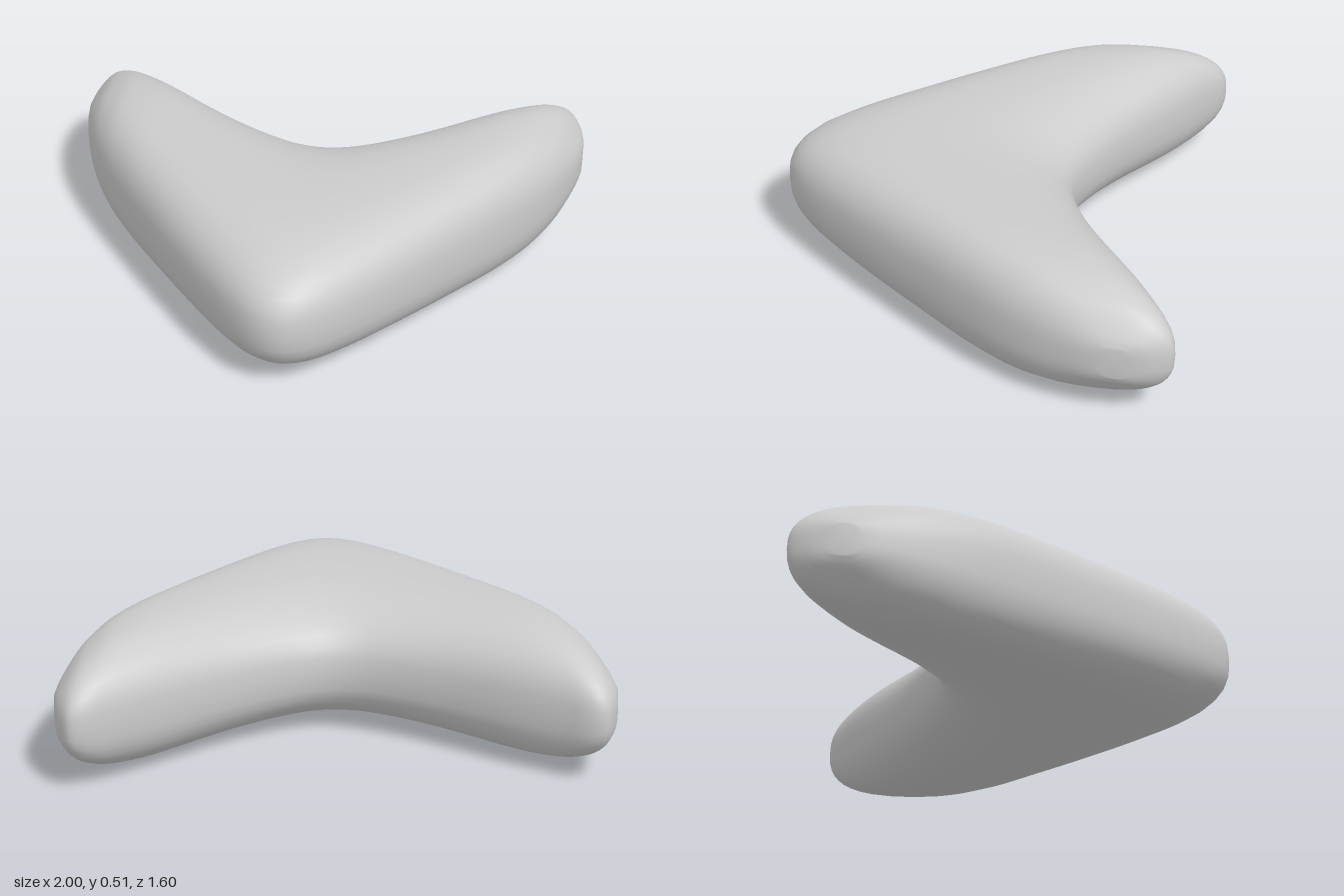
import * as THREE from 'three';

// Half of the outline, from the middle to a tip: x, back z, front z, half height
const STATIONS = [
  [0, -0.318, 0.797, 0.2525],
  [0.1, -0.332, 0.765, 0.2525],
  [0.2, -0.37, 0.68, 0.2525],
  [0.3, -0.42, 0.57, 0.2525],
  [0.4, -0.478, 0.45, 0.2525],
  [0.5, -0.545, 0.325, 0.2525],
  [0.6, -0.615, 0.195, 0.2525],
  [0.7, -0.682, 0.065, 0.249],
  [0.8, -0.745, -0.075, 0.233],
  [0.86, -0.783, -0.17, 0.208],
  [0.91, -0.8, -0.265, 0.178],
  [0.95, -0.79, -0.36, 0.137],
  [0.985, -0.725, -0.47, 0.09],
  [1, -0.65, -0.55, 0.06],
];
const MID_Y = 0.2525;
const SIDES = 40;
const STEPS = 3; // rings per station
const POWER = 2 / 2.6; // slightly squared oval section

const bulge = (v) => Math.sign(v) * Math.abs(v) ** POWER;

function createBodyGeometry() {
  // Mirror the stations and smooth them along the span
  const rows = [
    ...STATIONS.slice(1).reverse().map(([x, ...rest]) => [-x, ...rest]),
    ...STATIONS,
  ];
  const outline = new THREE.CatmullRomCurve3(
    rows.map(([x, back, front]) => new THREE.Vector3(x, back, front)), false, 'catmullrom', 0.5);
  const heights = new THREE.SplineCurve(rows.map(([x, , , h]) => new THREE.Vector2(x, h)));
  const rings = (rows.length - 1) * STEPS;

  const positions = [];
  const index = [];
  for (let i = 0; i <= rings; i++) {
    const { x, y: back, z: front } = outline.getPoint(i / rings);
    const h = heights.getPoint(i / rings).y;
    for (let j = 0; j < SIDES; j++) {
      const a = (j / SIDES) * Math.PI * 2;
      positions.push(
        x,
        MID_Y + h * bulge(Math.sin(a)),
        (front + back) / 2 + ((front - back) / 2) * bulge(Math.cos(a)));
    }
  }
  for (let i = 0; i < rings; i++) {
    for (let j = 0; j < SIDES; j++) {
      const k = (j + 1) % SIDES;
      const a = i * SIDES + j, b = a + SIDES;
      const d = i * SIDES + k, c = d + SIDES;
      index.push(a, b, c, a, c, d);
    }
  }

  // Small blunt caps at the two tips
  const tipZ = -0.6;
  const leftCentre = positions.length / 3;
  positions.push(-1, MID_Y, tipZ, 1, MID_Y, tipZ);
  for (let j = 0; j < SIDES; j++) {
    const k = (j + 1) % SIDES;
    index.push(leftCentre, j, k);
    index.push(leftCentre + 1, rings * SIDES + k, rings * SIDES + j);
  }

  const geometry = new THREE.BufferGeometry();
  geometry.setAttribute('position', new THREE.Float32BufferAttribute(positions, 3));
  geometry.setIndex(index);
  geometry.computeVertexNormals();
  return geometry;
}

export function createModel() {
  const group = new THREE.Group();
  group.name = 'roundedChevron';
  const body = new THREE.Mesh(
    createBodyGeometry(),
    new THREE.MeshStandardMaterial({ color: 0xcccccc }));
  body.name = 'chevronBody';
  group.add(body);
  return group;
}
